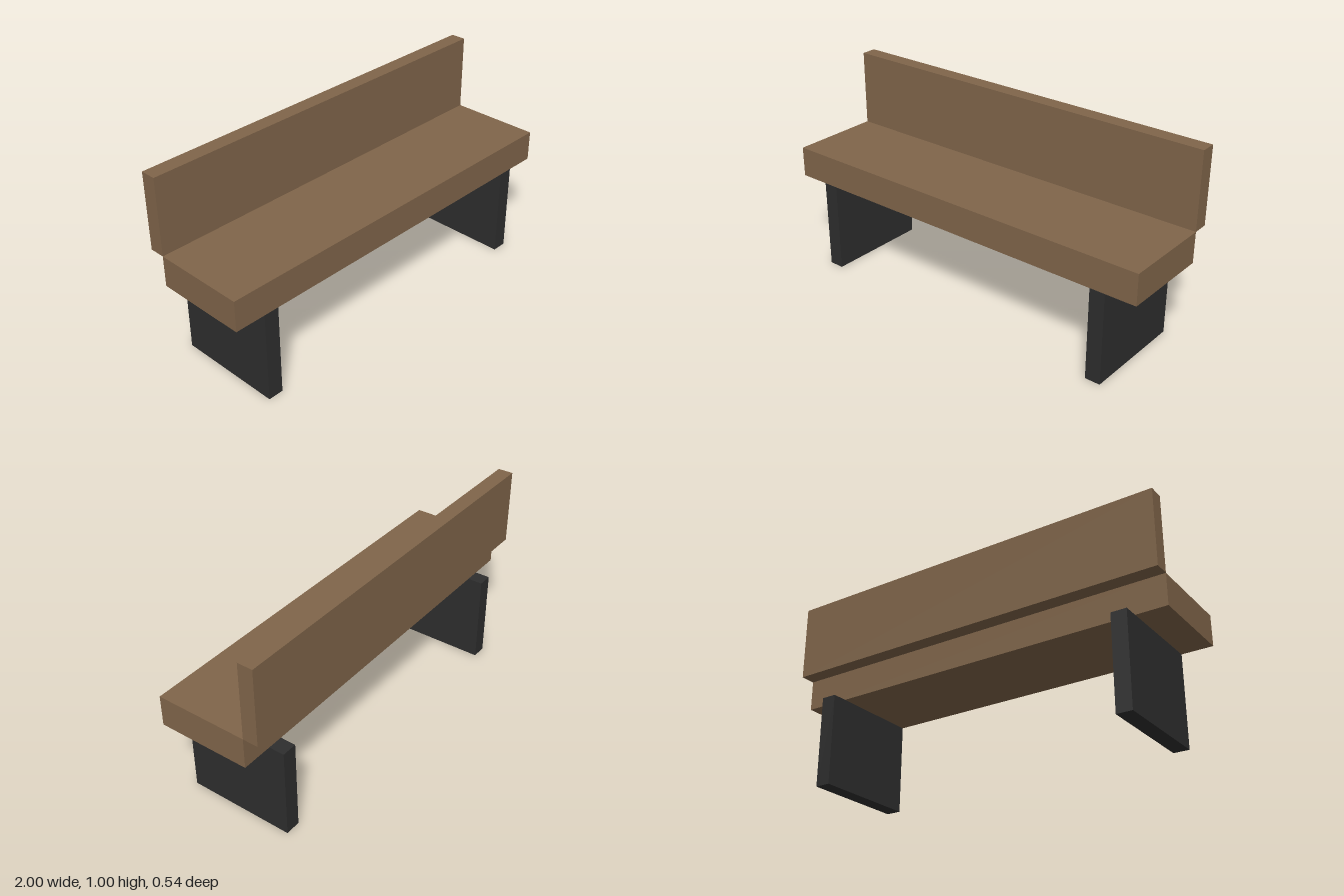
import * as THREE from 'three';

const U = 1 / 13; // one grid unit: the bench is 26 x 13 x 7 units

export function createModel() {
  const bench = new THREE.Group();
  bench.name = 'bench';

  const wood = new THREE.MeshStandardMaterial({ color: 0x80654a });
  wood.name = 'brownWood';
  const metal = new THREE.MeshStandardMaterial({ color: 0x2e2e2e });
  metal.name = 'darkMetal';

  // Adds a box given by its centre x, bottom y, back z and size, in grid units
  function addBox(name, material, [w, h, d], [x, bottom, back]) {
    const mesh = new THREE.Mesh(new THREE.BoxGeometry(w * U, h * U, d * U), material);
    mesh.position.set(x * U, (bottom + h / 2) * U, (back + d / 2) * U);
    mesh.name = name;
    bench.add(mesh);
  }

  // Seat plank, with the backrest standing just behind its rear edge
  addBox('seat', wood, [26, 2, 6], [0, 6, -2.5]);
  addBox('backrest', wood, [26, 5, 1], [0, 8, -3.5]);

  // Mirrored slab legs
  for (const [name, side] of [['leftLeg', 1], ['rightLeg', -1]]) {
    addBox(name, metal, [1, 6, 7], [side * 10.5, 0, -3.5]);
  }

  return bench;
}
